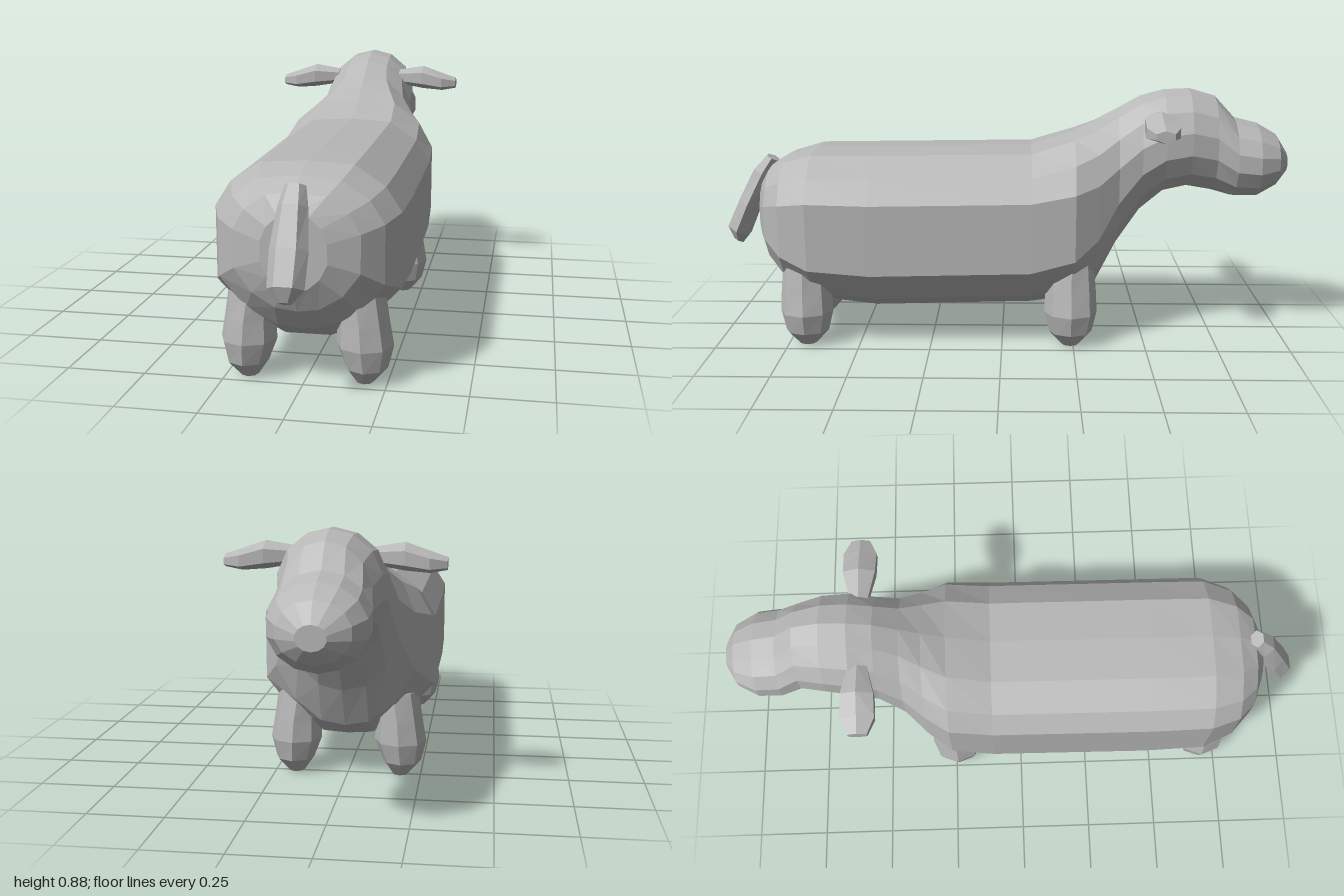
import * as THREE from 'three';

const V = (x, y, z) => new THREE.Vector3(x, y, z);

// Skin a list of equal-length rings, close both ends, return a faceted geometry
function loft(rings) {
  const n = rings[0].length, tris = [];
  const mid = r => r.reduce((s, p) => s.add(p), V(0, 0, 0)).divideScalar(n);
  const first = mid(rings[0]), last = mid(rings[rings.length - 1]);
  for (let j = 0; j < n; j++) {
    const k = (j + 1) % n;
    for (let i = 0; i + 1 < rings.length; i++) {
      const a = rings[i], b = rings[i + 1];
      tris.push([a[j], a[k], b[k]], [a[j], b[k], b[j]]);
    }
    tris.push([first, rings[0][k], rings[0][j]]);
    tris.push([last, rings[rings.length - 1][j], rings[rings.length - 1][k]]);
  }
  // Signed volume tells whether the faces point outwards
  const c = V(0, 0, 0);
  const volume = tris.reduce((s, [p, q, r]) => s + p.dot(c.crossVectors(q, r)), 0);
  const points = tris.flatMap(t => (volume < 0 ? [t[0], t[2], t[1]] : t));
  const geo = new THREE.BufferGeometry().setFromPoints(points);
  geo.computeVertexNormals();
  return geo;
}

// Ring of n points around a centre, spanned by two half-axes
function oval(centre, u, v, n) {
  return Array.from({ length: n }, (_, i) => {
    const a = (i / n) * Math.PI * 2;
    return centre.clone().addScaledVector(u, Math.cos(a)).addScaledVector(v, Math.sin(a));
  });
}

// Half outline of the boxy trunk, top to bottom, as fractions of width and height
const TRUNK = [[0, 1], [0.5, 0.985], [0.83, 0.87], [1, 0.73], [1, 0.3], [0.64, 0.1], [0.25, 0], [0, 0]];

// Cross-section of the animal: boxy = 1 for trunk, 0 for round neck and head
function section([z, bottom, top, w, boxy]) {
  const half = TRUNK.map(([tx, ty], i) => {
    const a = (i / 7) * Math.PI;
    const x = THREE.MathUtils.lerp(Math.sin(a), tx, boxy);
    const y = THREE.MathUtils.lerp((1 + Math.cos(a)) / 2, ty, boxy);
    return V(x * w, bottom + y * (top - bottom), z);
  });
  const other = half.slice(1, 7).reverse().map(p => V(-p.x, p.y, p.z));
  return [...half, ...other];
}

export function createModel() {
  const model = new THREE.Group();
  const hide = new THREE.MeshStandardMaterial({ color: 0xb8b8b8 });
  hide.name = 'grey hide';
  const add = (name, geo) => {
    const mesh = new THREE.Mesh(geo, hide);
    mesh.name = name;
    model.add(mesh);
  };

  // Trunk, neck and head in one skin: z, bottom, top, half width, boxiness
  add('bodyAndHead', loft([
    [0.855, 0.33, 0.56, 0.1, 0.2],
    [0.82, 0.26, 0.615, 0.19, 0.5],
    [0.76, 0.19, 0.65, 0.25, 0.8],
    [0.66, 0.135, 0.675, 0.285, 1],
    [0.45, 0.11, 0.678, 0.288, 1],
    [-0.1, 0.125, 0.685, 0.287, 1],
    [-0.25, 0.145, 0.735, 0.282, 0.8],
    [-0.33, 0.195, 0.775, 0.235, 0.5],
    [-0.4, 0.33, 0.815, 0.19, 0.15],
    [-0.48, 0.45, 0.86, 0.172, 0],
    [-0.56, 0.52, 0.882, 0.172, 0],
    [-0.65, 0.54, 0.886, 0.162, 0],
    [-0.74, 0.525, 0.86, 0.14, 0],
    [-0.81, 0.505, 0.785, 0.15, 0],
    [-0.89, 0.505, 0.765, 0.147, 0],
    [-0.96, 0.545, 0.725, 0.11, 0],
    [-0.998, 0.59, 0.665, 0.045, 0],
  ].map(section)));

  for (const [side, s] of [['left', 1], ['right', -1]]) {
    // Stubby legs: y, centre x, half width, half depth
    for (const [end, z] of [['front', -0.24], ['rear', 0.685]]) {
      add(`${side}${end}Leg`, loft([
        [0.3, 0.16, 0.08, 0.08],
        [0.2, 0.175, 0.08, 0.088],
        [0.125, 0.18, 0.088, 0.092],
        [0.055, 0.185, 0.066, 0.075],
        [0.005, 0.18, 0.027, 0.03],
      ].map(([y, x, rx, rz]) => oval(V(s * x, y, z), V(rx, 0, 0), V(0, 0, rz), 8))));
    }
    // Flat sideways ears: x, y, half height, half depth
    add(`${side}Ear`, loft([
      [0.12, 0.792, 0.028, 0.035],
      [0.215, 0.792, 0.044, 0.062],
      [0.29, 0.776, 0.034, 0.064],
      [0.343, 0.772, 0.02, 0.036],
    ].map(([x, y, ry, rz]) => oval(V(s * x, y, -0.53), V(0, ry, 0), V(0, 0, rz), 6))));
  }

  // Hanging tail, slanting backwards: y, z, half width, half thickness
  const across = V(0, 0.45, 0.89);
  add('tail', loft([
    [0.635, 0.82, 0.032, 0.025],
    [0.58, 0.855, 0.045, 0.04],
    [0.47, 0.91, 0.057, 0.042],
    [0.37, 0.955, 0.054, 0.045],
    [0.33, 0.96, 0.02, 0.02],
  ].map(([y, z, rx, rt]) => oval(V(0, y, z), V(rx, 0, 0), across.clone().multiplyScalar(rt), 6))));

  return model;
}
